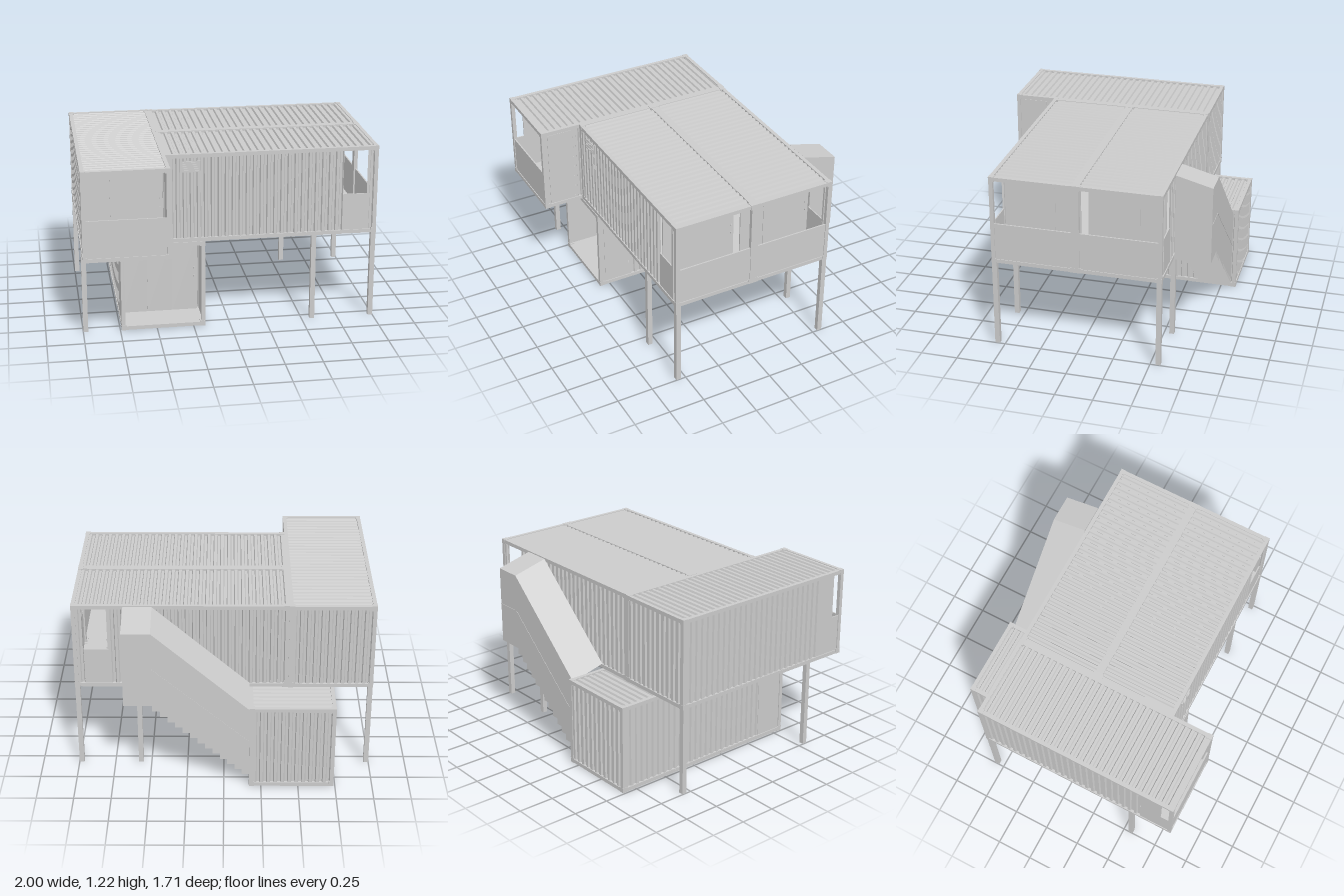
import * as THREE from 'three';

const L = 1.43, W = 0.57, H = 0.61, T = 0.026, PORCH = 0.235, RAIL = 0.28;
const mat = new THREE.MeshStandardMaterial({ color: 0xcccccc, flatShading: true, side: THREE.DoubleSide });

function add(parent, name, geo, x = 0, y = 0, z = 0, rx = 0, ry = 0, rz = 0) {
  const m = new THREE.Mesh(geo, mat);
  m.name = name;
  m.position.set(x, y, z);
  m.rotation.set(rx, ry, rz);
  parent.add(m);
  return m;
}
const box = (p, name, w, h, d, x, y, z) => add(p, name, new THREE.BoxGeometry(w, h, d), x, y, z);

// Trapezoid-ribbed sheet in the XY plane, ribs along Y, outside towards +z
function ribbed(w, h, depth = 0.012) {
  const n = Math.max(1, Math.round(w / 0.047)), pitch = w / n;
  const at = [0, 0.4, 0.52, 0.88], out = [0, 0, -depth, -depth];
  const geo = new THREE.PlaneGeometry(w, h, n * 4, 1);
  const pos = geo.attributes.position, cols = n * 4 + 1;
  for (let i = 0; i < pos.count; i++) {
    const c = i % cols;
    pos.setX(i, -w / 2 + (Math.floor(c / 4) + at[c % 4]) * pitch);
    pos.setZ(i, out[c % 4]);
  }
  const flat = geo.toNonIndexed();
  flat.computeVertexNormals();
  return flat;
}

// Recessed sliding glazing made of three overlapping leaves
function glazing(parent, z) {
  const g = new THREE.Group();
  g.name = 'slidingGlazing';
  const w = W - 2 * T, h = H - 2 * T, y = H / 2;
  box(g, 'glassWall', w, h, 0.006, 0, y, z);
  [-1, 0, 1].forEach(i => box(g, 'slidingLeaf', w / 3, h - 0.01, 0.006, i * w / 3, y, z + (i ? 0.004 : 0.008)));
  box(g, 'doorTrack', 0.1, 0.01, 0.012, 0, H - T - 0.006, z + 0.012);
  [-0.03, 0.03].forEach(dy => box(g, 'doorHandle', 0.006, 0.012, 0.01, w / 2 - 0.02, y + dy, z + 0.01));
  parent.add(g);
}

// Container along local z with its porch at +z. sides: [left(-x), right(+x)],
// each 'panel', 'gap', 'window' or null for an open joint.
function container(name, sides, railing, backWall) {
  const g = new THREE.Group();
  g.name = name;
  const hx = W / 2, hz = L / 2, iw = W - 2 * T, il = L - 2 * T, ih = H - 2 * T, glassZ = hz - PORCH;

  // frame with corner blocks
  for (const sx of [-1, 1]) {
    for (const sz of [-1, 1]) {
      box(g, 'cornerPost', T, H, T, sx * (hx - T / 2), H / 2, sz * (hz - T / 2));
      for (const y of [0.015, H - 0.015])
        box(g, 'cornerBlock', 0.036, 0.034, 0.036, sx * (hx - 0.017), y, sz * (hz - 0.017));
    }
    for (const y of [T / 2, H - T / 2]) box(g, 'sideBeam', T, T, il, sx * (hx - T / 2), y, 0);
    for (const z of [-0.21, 0.21]) box(g, 'forkPocket', 0.004, 0.016, 0.14, sx * (hx - 0.001), 0.013, z);
  }
  for (const sz of [-1, 1]) for (const y of [T / 2, H - T / 2])
    box(g, 'endBeam', iw, T, T, 0, y, sz * (hz - T / 2));

  // ribbed roof and underside, plain floor and ceiling
  const roof = ribbed(il, iw);
  roof.rotateZ(Math.PI / 2);
  add(g, 'roof', roof, 0, H - 0.004, 0, -Math.PI / 2);
  add(g, 'underside', roof, 0, 0.004, 0, Math.PI / 2);
  box(g, 'floor', iw, 0.006, il, 0, T - 0.003, 0);
  box(g, 'ceiling', iw, 0.004, il, 0, H - T, 0);
  box(g, 'porchLamp', 0.07, 0.008, 0.07, 0, H - T - 0.006, hz - 0.12);
  glazing(g, glassZ);

  // side walls: ribbed up to the glazing, then the porch side
  const wl = glassZ + hz - T, wz = (glassZ - hz + T) / 2;
  sides.forEach((kind, i) => {
    if (!kind) return;
    const s = i ? 1 : -1, x = s * (hx - 0.005), px = s * (hx - 0.01);
    add(g, 'sideWall', ribbed(wl, ih), x, H / 2, wz, 0, s * Math.PI / 2);
    const end = hz - T;
    const slab = (part, z0, z1, y0, y1) =>
      box(g, part, 0.008, y1 - y0, z1 - z0, px, (y0 + y1) / 2, (z0 + z1) / 2);
    if (kind === 'panel') {
      slab('porchSide', glassZ, end, T, H - T);
      box(g, 'porchPanel', 0.006, ih - 0.01, 0.18, s * (hx - 0.006), H / 2, glassZ + 0.1);
    } else if (kind === 'gap') {
      slab('porchPanel', glassZ, hz - 0.085, T, H - T);
      slab('porchParapet', hz - 0.085, end, T, RAIL);
    } else {
      slab('porchParapet', glassZ, hz - 0.07, T, RAIL);
      add(g, 'porchStrip', ribbed(0.046, ih), x, H / 2, hz - 0.048, 0, s * Math.PI / 2);
    }
  });
  if (backWall) add(g, 'endWall', ribbed(iw, ih), 0, H / 2, -hz + 0.005, 0, Math.PI);
  if (railing) box(g, 'endParapet', iw, RAIL - T, 0.01, 0, (RAIL + T) / 2, hz - 0.01);
  return g;
}

// Sheet through four corners
function quad(parent, name, a, b, c, d) {
  const geo = new THREE.BufferGeometry();
  geo.setAttribute('position', new THREE.Float32BufferAttribute([a, b, c, a, c, d].flat(), 3));
  geo.computeVertexNormals();
  add(parent, name, geo);
}

function extrude(points, depth) {
  const shape = new THREE.Shape(points.map(p => new THREE.Vector2(p[0], p[1])));
  return new THREE.ExtrudeGeometry(shape, { depth, bevelEnabled: false });
}

// Enclosed stair climbing towards +x behind the house
function stairs() {
  const g = new THREE.Group();
  g.name = 'stairEnclosure';
  const x0 = -0.17, x1 = 0.47, x2 = 0.66, zi = -0.575, zo = -0.82, n = 13;
  const run = (x1 - x0) / n, y0 = 0.07, rise = (H - y0) / n;
  const zig = [[x0, 0.02], [x0, y0]];
  for (let i = 0; i < n; i++) {
    const x = x0 + (i + 1) * run, y = y0 + i * rise;
    zig.push([x, y], [x, y + rise]);
  }
  zig.push([x2, H]);
  const upper = zig.map(([x, y]) => [x - 0.005, y + 0.007]).reverse();
  add(g, 'steps', extrude([...zig, ...upper], zi - zo), 0, 0, zo);

  // outer wall follows the steps below and the sloping roof above
  add(g, 'outerWall', extrude([...zig, [x2, 1.15], [x1, 1.15], [x0, 0.58]], 0.008), 0, 0, zo);
  add(g, 'wallSeam', extrude([[x0, 0.33], [x1, 0.885], [x2, 0.885], [x2, 0.89], [x1, 0.89], [x0, 0.335]], 0.002), 0, 0, zo - 0.002);
  quad(g, 'landingEndWall', [x2, H, zi], [x2, H, zo], [x2, 1.15, zo], [x2, 1.215, zi]);
  quad(g, 'landingRoof', [x1, 1.15, zo], [x1, 1.215, zi], [x2, 1.215, zi], [x2, 1.15, zo]);
  quad(g, 'stairRoof', [x0, 0.58, zo], [x0, 0.645, zi], [x1, 1.215, zi], [x1, 1.15, zo]);
  return g;
}

export function createModel() {
  const house = new THREE.Group();
  house.name = 'containerHouse';
  const place = (c, x, y, z, ry = 0) => {
    c.position.set(x, y, z);
    c.rotation.y = ry;
    house.add(c);
  };
  place(container('lowerContainer', ['panel', 'panel'], false, true), -0.455, 0, -0.14);
  place(container('upperCrossContainer', ['gap', 'panel'], true, true), -0.715, H, 0.14);
  place(container('upperFrontContainer', ['window', null], true, false), 0.285, H, 0.285, Math.PI / 2);
  place(container('upperBackContainer', [null, 'window'], true, false), 0.285, H, -0.285, Math.PI / 2);
  house.add(stairs());

  // support legs
  for (const x of [-0.983, 0.572, 0.983]) for (const s of [-1, 1])
    box(house, 'supportLeg', 0.033, H, 0.033, x, H / 2, s * 0.553);

  // slatted vent unit with its conduit on the front wall
  const vent = new THREE.Group();
  vent.name = 'ventUnit';
  box(vent, 'ventBody', 0.12, 0.075, 0.006, -0.26, 1.135, 0.57);
  for (let i = 0; i < 5; i++) box(vent, 'ventSlat', 0.115, 0.006, 0.008, -0.26, 1.107 + i * 0.014, 0.573);
  box(vent, 'conduit', 0.005, 0.15, 0.005, -0.2, 1.03, 0.57);
  house.add(vent);
  return house;
}
